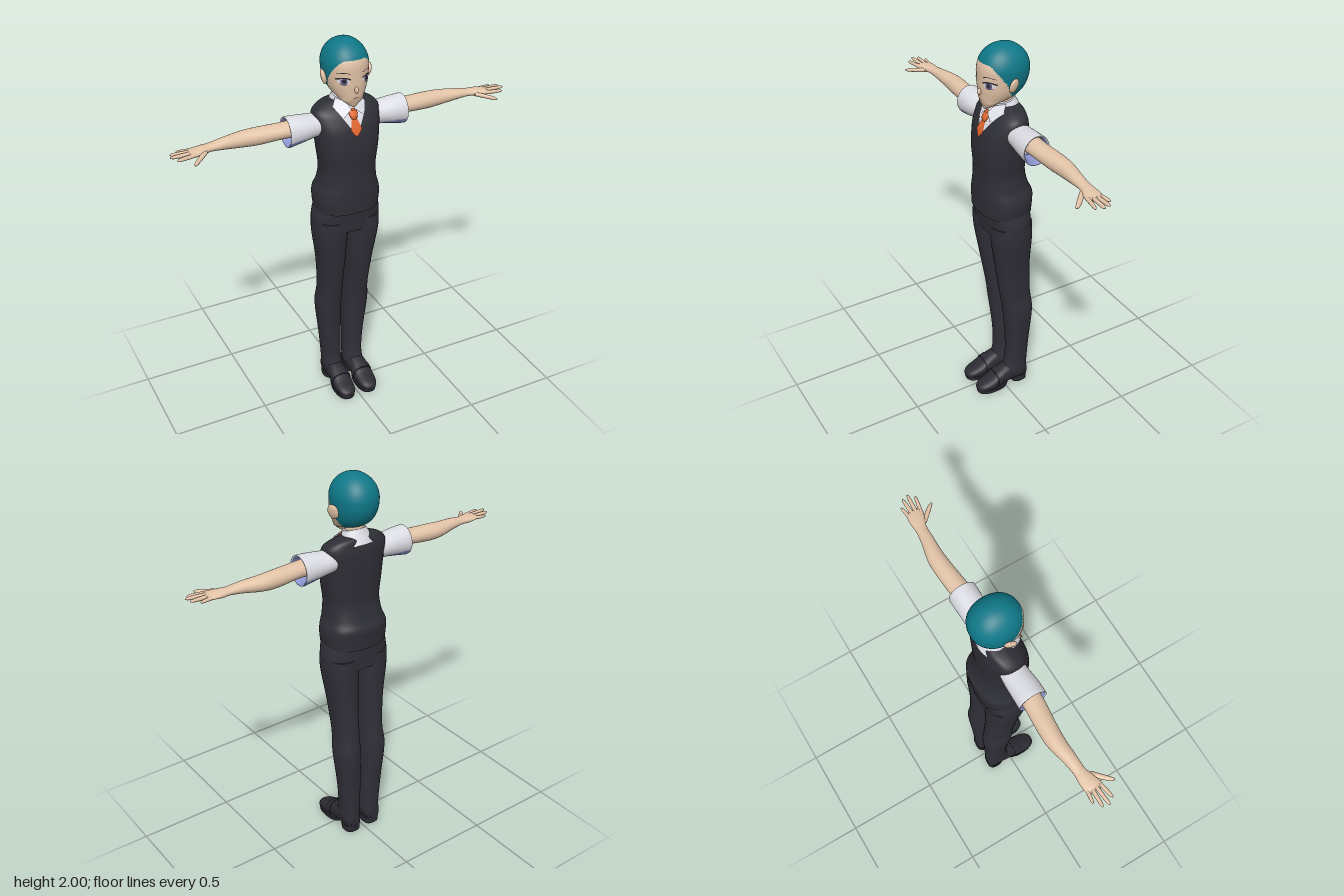
import * as THREE from 'three';

const paint = (name, color) => {
  const m = new THREE.MeshStandardMaterial({ color });
  m.name = name;
  return m;
};

// Fill in extra cross-sections between the given ones
function smooth(rows, sub = 5) {
  const out = [];
  const at = i => rows[Math.max(0, Math.min(rows.length - 1, i))];
  for (let i = 0; i < rows.length - 1; i++) {
    for (let s = 0; s < sub; s++) {
      const t = s / sub, t2 = t * t, t3 = t2 * t;
      out.push(rows[i].map((p, k) => {
        const q = at(i + 1)[k], m0 = (q - at(i - 1)[k]) / 2, m1 = (at(i + 2)[k] - p) / 2;
        return (2 * t3 - 3 * t2 + 1) * p + (t3 - 2 * t2 + t) * m0 + (3 * t2 - 2 * t3) * q + (t3 - t2) * m1;
      }));
    }
  }
  out.push(rows[rows.length - 1]);
  return out;
}

// Skin rounded cross-sections [t, centreU, centreV, radiusU, radiusV] along an axis, with end caps
function loft(axis, rows, { seg = 32, n = 2, pick = () => 0 } = {}) {
  const pos = [], buckets = [[], []];
  const put = (u, t, v) => pos.push(...(axis === 'y' ? [u, t, v] : axis === 'x' ? [t, v, u] : [v, u, t]));
  const ring = r => {
    for (let j = 0; j < seg; j++) {
      const a = j / seg * Math.PI * 2, s = Math.sin(a), c = Math.cos(a);
      put(r[1] + r[3] * Math.sign(s) * Math.abs(s) ** (2 / n), r[0], r[2] + r[4] * Math.sign(c) * Math.abs(c) ** (2 / n));
    }
  };
  const tri = (a, b, c) => {
    const mid = [0, 1, 2].map(k => (pos[a * 3 + k] + pos[b * 3 + k] + pos[c * 3 + k]) / 3);
    buckets[pick(...mid)].push(a, b, c);
  };
  rows.forEach(ring);
  for (let i = 0; i < rows.length - 1; i++) {
    for (let j = 0; j < seg; j++) {
      const a = i * seg + j, b = i * seg + (j + 1) % seg;
      tri(a, b, b + seg);
      tri(a, b + seg, a + seg);
    }
  }
  [rows[0], rows[rows.length - 1]].forEach((r, end) => {
    const base = pos.length / 3;
    ring(r);
    put(r[1], r[0], r[2]);
    for (let j = 0; j < seg; j++) {
      const a = base + j, b = base + (j + 1) % seg;
      end ? tri(a, b, base + seg) : tri(b, a, base + seg);
    }
  });
  const g = new THREE.BufferGeometry();
  g.setAttribute('position', new THREE.Float32BufferAttribute(pos, 3));
  g.setIndex([...buckets[0], ...buckets[1]]);
  g.addGroup(0, buckets[0].length, 0);
  if (buckets[1].length) g.addGroup(buckets[0].length, buckets[1].length, 1);
  g.computeVertexNormals();
  return g;
}

// Front depth of an upright loft at x, y
function frontZ(rows, n, x, y) {
  let i = 0;
  while (i < rows.length - 2 && rows[i + 1][0] < y) i++;
  const z = r => r[2] + r[4] * Math.max(0, 1 - Math.abs((x - r[1]) / r[3]) ** n) ** (1 / n);
  const t = Math.max(0, Math.min(1, (y - rows[i][0]) / (rows[i + 1][0] - rows[i][0])));
  return z(rows[i]) * (1 - t) + z(rows[i + 1]) * t;
}

// Thin painted patch following the front of a loft
function patch(rows, n, off, fn, nu = 12, nv = 8) {
  const g = new THREE.PlaneGeometry(1, 1, nu, nv), p = g.attributes.position;
  for (let i = 0; i < p.count; i++) {
    const [x, y] = fn(p.getX(i) + 0.5, p.getY(i) + 0.5);
    p.setXYZ(i, x, y, frontZ(rows, n, x, y) + off);
  }
  g.computeVertexNormals();
  return g;
}

function mirror(geo) {
  const g = geo.clone().scale(-1, 1, 1), a = g.index.array;
  for (let i = 0; i < a.length; i += 3) [a[i], a[i + 1]] = [a[i + 1], a[i]];
  g.computeVertexNormals();
  return g;
}

export function createModel() {
  const skin = paint('skin', 0xe2c3a7), hair = paint('teal hair', 0x0f7888), tie = paint('orange tie', 0xe0662c);
  const shirt = paint('white shirt', 0xdcdce4), shade = paint('blue shirt underside', 0x8a93cc);
  const vest = paint('vest charcoal', 0x2e2e36), trouser = paint('trouser charcoal', 0x302f38);
  const leather = paint('shoe black', 0x2c2b33), dark = paint('lash dark', 0x28222c), iris = paint('iris', 0x57557c);
  shirt.side = THREE.DoubleSide;

  const model = new THREE.Group();
  model.name = 'figure';
  const add = (name, geo, mat) => {
    const m = new THREE.Mesh(geo, mat);
    m.name = name;
    model.add(m);
  };
  const pair = (name, geo, mat) => {
    add('left ' + name, geo, mat);
    add('right ' + name, mirror(geo), mat);
  };

  // Head, with the hair cap split off along the hairline
  const headRows = [
    [1.69, 0, 0.055, 0.012, 0.015], [1.705, 0, 0.05, 0.032, 0.026], [1.725, 0, 0.041, 0.055, 0.042],
    [1.745, 0, 0.006, 0.072, 0.082], [1.77, 0, -0.013, 0.087, 0.103], [1.80, 0, -0.024, 0.098, 0.116],
    [1.84, 0, -0.032, 0.106, 0.124]];
  for (let k = 0; k <= 8; k++) {
    const a = k / 8 * 1.54;
    headRows.push([1.88 + 0.12 * Math.sin(a), 0, -0.034, 0.109 * Math.cos(a), 0.126 * Math.cos(a)]);
  }
  const head = smooth(headRows, 6), headN = 2.2;
  const hairline = z => (z > 0 ? 1.825 + 0.1 * Math.min(1, z / 0.07) : 1.825 + z * 2);
  add('head and hair', loft('y', head, { seg: 96, n: headN, pick: (x, y, z) => (y > hairline(z) ? 1 : 0) }), [skin, hair]);
  pair('ear', new THREE.SphereGeometry(1, 20, 14).scale(0.013, 0.038, 0.03).rotateZ(-0.25).rotateY(0.35)
    .translate(0.113, 1.828, -0.025), skin);
  add('nose', new THREE.SphereGeometry(1, 16, 12).scale(0.009, 0.017, 0.015).rotateX(-0.3).translate(0, 1.783, 0.091), skin);

  // Eyes, brows and mouth
  const face = (off, fn) => patch(head, headN, off, fn);
  const strip = (x0, x1, y0, y1, arch) => (u, v) => [x0 + (x1 - x0) * u, y0 + (y1 - y0) * v + arch * Math.sin(Math.PI * u)];
  pair('eye white', face(0.0015, (u, v) => [0.033 + 0.048 * u, 1.828 + (v - 0.5) * 0.03 * Math.sin(Math.PI * (0.1 + 0.8 * u))]), shirt);
  pair('iris', face(0.0025, (u, v) => [0.044 + 0.026 * u, 1.828 + (v - 0.5) * 0.033 * Math.sin(Math.PI * (0.15 + 0.7 * u))]), iris);
  pair('pupil', face(0.0035, (u, v) => [0.051 + 0.012 * u, 1.83 + (v - 0.5) * 0.02 * Math.sin(Math.PI * (0.15 + 0.7 * u))]), dark);
  pair('upper lash', face(0.004, strip(0.029, 0.088, 1.835, 1.842, 0.008)), dark);
  pair('lower lash', face(0.003, strip(0.045, 0.075, 1.813, 1.8155, -0.002)), dark);
  pair('brow', face(0.002, strip(0.03, 0.085, 1.863, 1.866, 0.006)), dark);
  add('mouth', face(0.002, strip(-0.013, 0.013, 1.742, 1.745, -0.001)), dark);

  // Neck and collar
  add('neck', loft('y', smooth([[1.62, 0, -0.045, 0.056, 0.05], [1.70, 0, -0.042, 0.048, 0.045], [1.78, 0, -0.035, 0.05, 0.045]])), skin);
  add('collar band', loft('y', smooth([[1.65, 0, -0.045, 0.092, 0.07], [1.69, 0, -0.045, 0.076, 0.06], [1.725, 0, -0.045, 0.06, 0.053]]))
    .translate(0, -1.69, 0.045).rotateX(0.25).translate(0, 1.69, -0.045), shirt);
  const flap = new THREE.BufferGeometry();
  flap.setAttribute('position', new THREE.Float32BufferAttribute(
    [0.02, 1.70, 0.025, 0.008, 1.672, 0.056, 0.05, 1.64, 0.068, 0.085, 1.685, 0.012, 0.06, 1.715, -0.015], 3));
  flap.setIndex([0, 1, 2, 0, 2, 3, 0, 3, 4]);
  flap.computeVertexNormals();
  pair('collar flap', flap, shirt);

  // Knitted vest with hem
  const body = smooth([
    [1.13, 0, -0.025, 0.163, 0.130], [1.19, 0, -0.026, 0.170, 0.131], [1.235, 0, -0.027, 0.165, 0.132],
    [1.28, 0, -0.018, 0.150, 0.121], [1.36, 0, -0.010, 0.142, 0.110], [1.46, 0, -0.009, 0.154, 0.113],
    [1.56, 0, -0.015, 0.165, 0.107], [1.62, 0, -0.026, 0.172, 0.094], [1.66, 0, -0.035, 0.165, 0.077],
    [1.69, 0, -0.050, 0.120, 0.055], [1.705, 0, -0.050, 0.060, 0.040]]);
  add('vest', loft('y', body, { seg: 56, n: 2.5 }), vest);

  // Shirt front in the V neck, and the tie
  add('shirt front', patch(body, 2.5, 0.004, (u, v) => {
    const x = (u - 0.5) * 0.166, low = 1.55 + Math.abs(x) * 1.58;
    return [x, low + (1.685 - low) * v];
  }, 24, 12), shirt);
  add('tie blade', patch(body, 2.5, 0.009, (u, v) => {
    const y = 1.552 + 0.083 * v, w = Math.min(0.012 + (1 - v) * 0.028, 0.006 + v * 0.083 * 0.8);
    return [(u - 0.5) * 2 * w, y];
  }), tie);
  add('tie knot', loft('y', smooth([[1.627, 0, 0.066, 0.013, 0.011], [1.645, 0, 0.062, 0.02, 0.015], [1.668, 0, 0.048, 0.021, 0.013]]), { seg: 16, n: 2.6 }), tie);

  // Short sleeves, turned in at the cuff
  const sleeve = smooth([
    [0.13, -0.03, 1.592, 0.062, 0.055], [0.18, -0.03, 1.59, 0.066, 0.058], [0.24, -0.027, 1.588, 0.07, 0.067],
    [0.305, -0.026, 1.584, 0.071, 0.076], [0.312, -0.026, 1.584, 0.066, 0.071], [0.30, -0.026, 1.584, 0.06, 0.064],
    [0.24, -0.026, 1.586, 0.055, 0.055]]);
  const under = (x, y, z) => (y < 1.552 || (x > 0.27 && Math.hypot((z + 0.026) / 0.071, (y - 1.584) / 0.076) < 0.9) ? 1 : 0);
  pair('sleeve', loft('x', sleeve, { seg: 40, pick: under }), [shirt, shade]);

  // Arms, palms and fingers
  pair('arm and palm', loft('x', smooth([
    [0.25, -0.03, 1.595, 0.05, 0.042], [0.33, -0.031, 1.595, 0.049, 0.038], [0.45, -0.04, 1.59, 0.046, 0.042],
    [0.53, -0.042, 1.59, 0.042, 0.038], [0.62, -0.032, 1.593, 0.033, 0.028], [0.69, -0.026, 1.592, 0.029, 0.019],
    [0.73, -0.02, 1.59, 0.037, 0.019], [0.775, -0.013, 1.59, 0.042, 0.014], [0.80, -0.012, 1.588, 0.034, 0.009]])), skin);
  const finger = (x0, z0, y0, x1, z1, y1, rz, ry) => loft('x', smooth([[0, 1], [0.5, 0.95], [0.88, 0.75], [1, 0.25]].map(([t, k]) =>
    [x0 + (x1 - x0) * t, z0 + (z1 - z0) * t, y0 + (y1 - y0) * t, rz * k, ry * k]), 4), { seg: 14 });
  pair('index finger', finger(0.76, 0.016, 1.59, 0.862, 0.036, 1.59, 0.01, 0.01), skin);
  pair('middle finger', finger(0.77, -0.003, 1.592, 0.885, 0.006, 1.596, 0.01, 0.01), skin);
  pair('ring finger', finger(0.77, -0.021, 1.591, 0.877, -0.025, 1.594, 0.01, 0.01), skin);
  pair('little finger', finger(0.76, -0.04, 1.59, 0.842, -0.052, 1.59, 0.009, 0.009), skin);
  pair('thumb', finger(0.715, 0.0, 1.588, 0.8, 0.086, 1.576, 0.018, 0.011), skin);

  // Trousers
  add('trouser seat', loft('y', smooth([
    [1.01, 0, -0.033, 0.168, 0.107], [1.08, 0, -0.03, 0.177, 0.112], [1.16, 0, -0.026, 0.16, 0.118]]), { seg: 48, n: 2.6 }), trouser);
  pair('trouser leg', loft('y', smooth([
    [0.085, 0.063, -0.070, 0.053, 0.072], [0.16, 0.064, -0.082, 0.052, 0.062], [0.30, 0.069, -0.085, 0.057, 0.065],
    [0.50, 0.079, -0.080, 0.066, 0.080], [0.62, 0.075, -0.065, 0.061, 0.083], [0.80, 0.079, -0.045, 0.069, 0.093],
    [0.98, 0.087, -0.033, 0.086, 0.107], [1.07, 0.087, -0.031, 0.087, 0.108]]), { seg: 36, n: 2.3 }), trouser);

  // Shoes: upper, strap, sole and heel
  pair('shoe upper', loft('z', smooth([
    [-0.14, 0.06, 0.064, 0.03, 0.028], [-0.12, 0.072, 0.064, 0.052, 0.044], [-0.04, 0.076, 0.064, 0.056, 0.048],
    [0.03, 0.063, 0.065, 0.046, 0.051], [0.08, 0.046, 0.066, 0.033, 0.053], [0.13, 0.036, 0.066, 0.024, 0.045],
    [0.155, 0.03, 0.066, 0.016, 0.028], [0.162, 0.028, 0.066, 0.008, 0.012]]), { n: 2.4 }), leather);
  pair('shoe strap', loft('z', [[0.025, 0.065, 0.065, 0.05, 0.054], [0.055, 0.057, 0.0655, 0.044, 0.055]], { n: 2.4 }), leather);
  pair('sole', loft('y', [[0, 0.065, 0.07, 0.05, 0.088], [0.024, 0.065, 0.069, 0.053, 0.094]], { n: 2.4 }), leather);
  pair('heel', loft('y', [[0, 0.063, -0.095, 0.043, 0.044], [0.04, 0.063, -0.093, 0.046, 0.048]], { n: 2.8 }), leather);

  return model;
}
